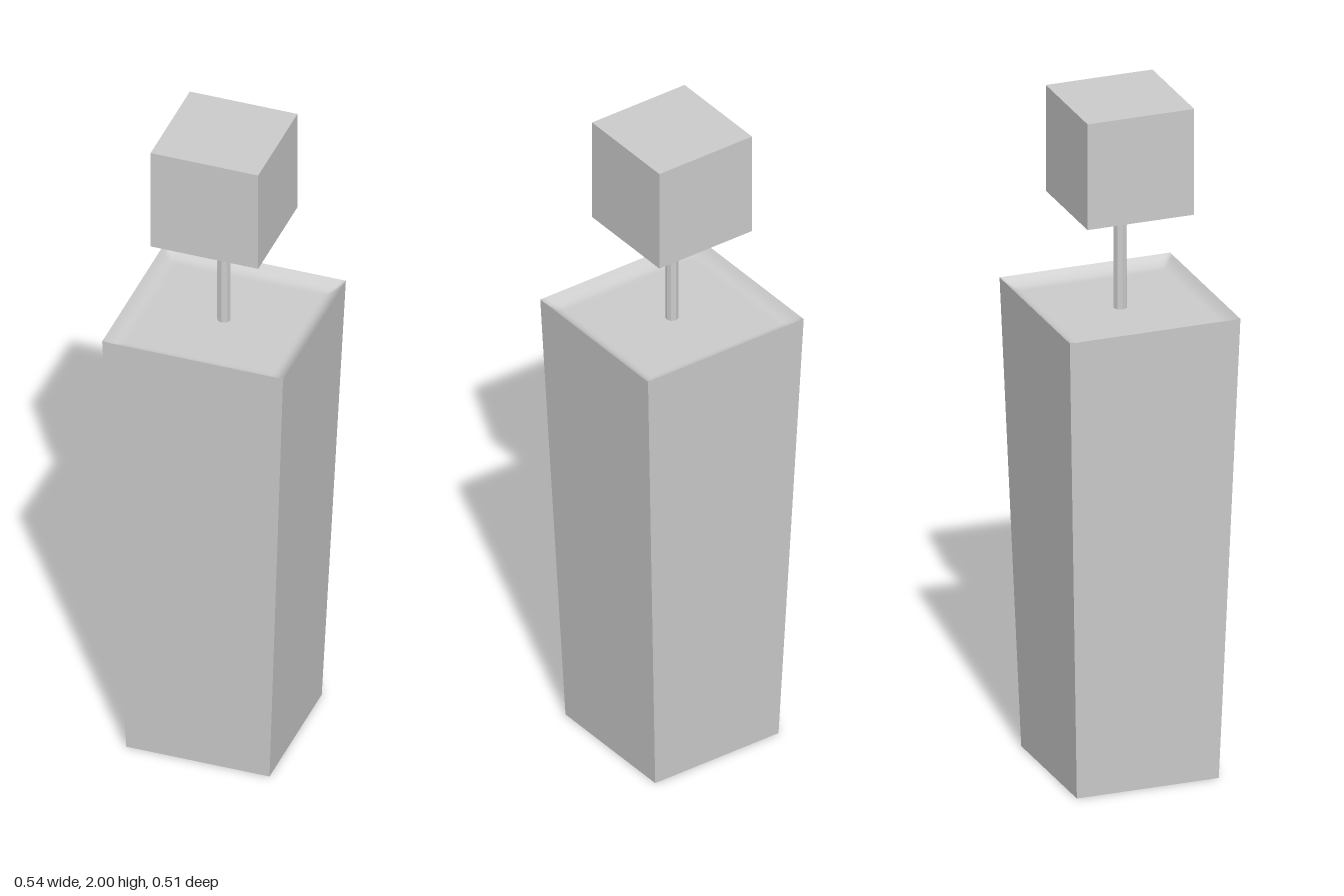
import * as THREE from 'three';

const BODY_H = 1.395, HALF_X = 0.269, HALF_Z = 0.256, HALF_BASE = 0.213;
const DISH_DEPTH = 0.027, RIM = 0.045;

// Box that widens toward the top, left open above
function taperedShell() {
  const geo = new THREE.BoxGeometry(2, BODY_H, 2);
  geo.translate(0, BODY_H / 2, 0);
  const p = geo.attributes.position;
  for (let i = 0; i < p.count; i++) {
    const top = p.getY(i) > BODY_H / 2;
    p.setX(i, p.getX(i) * (top ? HALF_X : HALF_BASE));
    p.setZ(i, p.getZ(i) * (top ? HALF_Z : HALF_BASE));
  }
  // The third face of a box is its top
  const index = Array.from(geo.index.array);
  index.splice(12, 6);
  geo.setIndex(index);
  geo.clearGroups();
  geo.computeVertexNormals();
  return geo;
}

// Shallow recess that curves up smoothly to the rim
function dishedTop() {
  const geo = new THREE.PlaneGeometry(2 * HALF_X, 2 * HALF_Z, 54, 54);
  geo.rotateX(-Math.PI / 2);
  const p = geo.attributes.position;
  for (let i = 0; i < p.count; i++) {
    const edge = Math.min(HALF_X - Math.abs(p.getX(i)), HALF_Z - Math.abs(p.getZ(i)));
    const t = Math.max(0, 1 - edge / RIM);
    p.setY(i, BODY_H - DISH_DEPTH * (1 - t * t));
  }
  geo.computeVertexNormals();
  return geo;
}

export function createModel() {
  const model = new THREE.Group();
  const grey = new THREE.MeshStandardMaterial({ color: 0xcccccc });
  const faceted = new THREE.MeshStandardMaterial({ color: 0xcccccc, flatShading: true });
  const add = (name, geometry, material, y = 0) => {
    const mesh = new THREE.Mesh(geometry, material);
    mesh.name = name;
    mesh.position.y = y;
    model.add(mesh);
  };

  // Tapered body with its dished top
  add('body', taperedShell(), faceted);
  add('dishedTop', dishedTop(), grey);

  // Thin post rising from the dish, carrying the cube
  const postBottom = BODY_H - DISH_DEPTH, headBottom = 1.682;
  const postH = headBottom - postBottom;
  add('post', new THREE.CylinderGeometry(0.019, 0.019, postH, 8), faceted, postBottom + postH / 2);
  add('headCube', new THREE.BoxGeometry(0.32, 2 - headBottom, 0.32), faceted, (2 + headBottom) / 2);

  return model;
}
